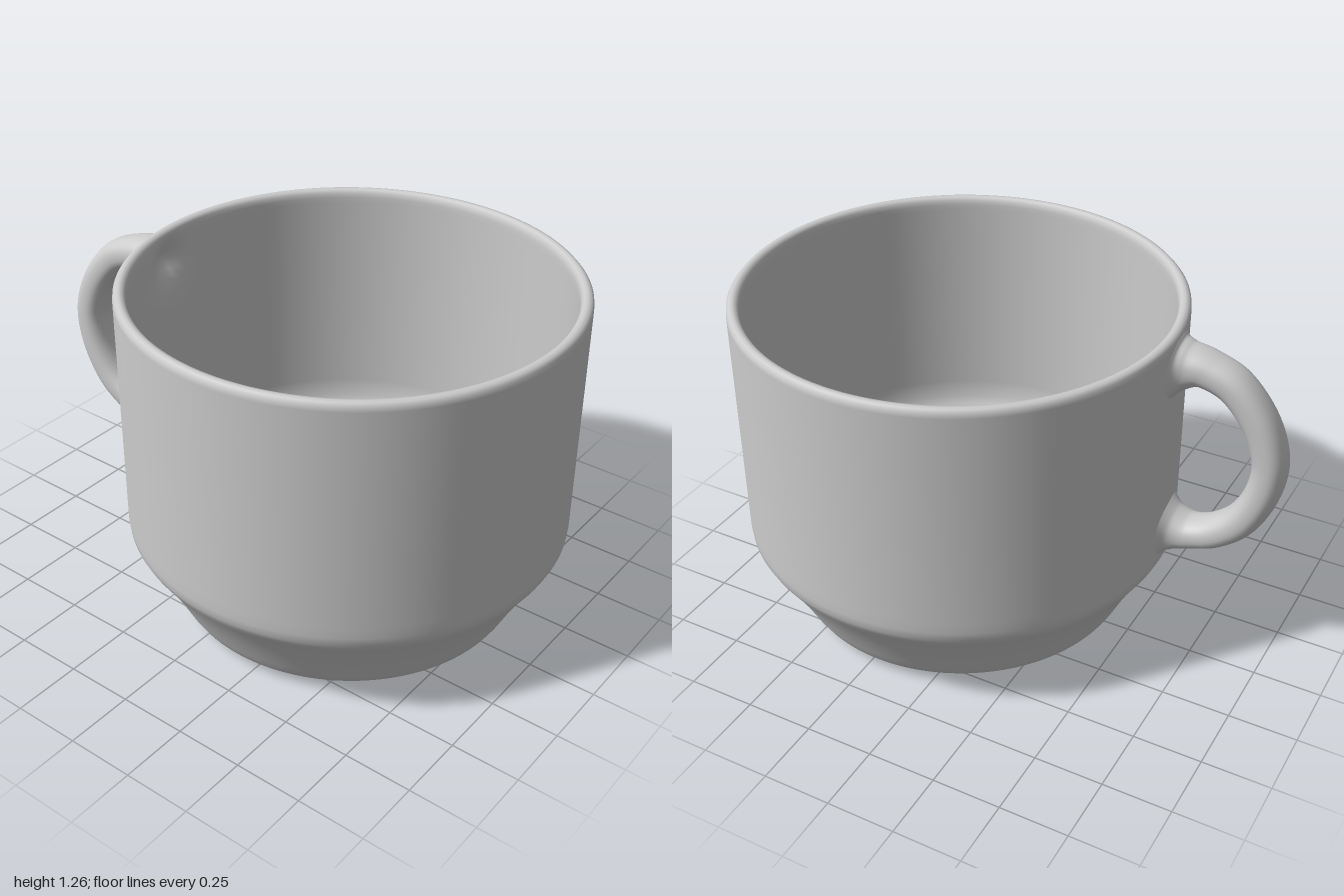
import * as THREE from 'three';
import { mergeVertices } from 'three/addons/utils/BufferGeometryUtils.js';

const CUP_Z = 0.2; // cup axis
const HANDLE_X = -0.09;

function smooth(geometry) {
  geometry.deleteAttribute('uv');
  geometry.deleteAttribute('normal');
  const merged = mergeVertices(geometry, 1e-5);
  merged.computeVertexNormals();
  return merged;
}

// Cup: one revolved wall, outside, rim, inside and floor
function cupGeometry() {
  const profile = [
    [0, 0], [0.3, 0.004], [0.5, 0.012], [0.57, 0.018], [0.605, 0.028], [0.625, 0.045],
    [0.64, 0.07], [0.655, 0.1], [0.69, 0.17], [0.73, 0.24], [0.765, 0.295], [0.785, 0.325],
    [0.797, 0.35], [0.8, 0.38], [0.8, 0.42], [0.8, 0.8], [0.8, 1.23], [0.798, 1.247],
    [0.789, 1.257], [0.777, 1.26], [0.765, 1.257], [0.757, 1.247], [0.755, 1.23],
  ];
  for (let y = 1.21; y > 0.4; y -= 0.02) profile.push([0.755, y]);
  profile.push([0.75, 0.36], [0.735, 0.33], [0.69, 0.255], [0.64, 0.17], [0.605, 0.105],
    [0.59, 0.085], [0.57, 0.074], [0.54, 0.07], [0.3, 0.068], [0, 0.068]);
  const geometry = new THREE.LatheGeometry(profile.map(([r, y]) => new THREE.Vector2(r, y)), 160);

  // Soft hollows inside the wall behind the handle roots
  const p = geometry.attributes.position;
  for (let i = 0; i < p.count; i++) {
    const x = p.getX(i), y = p.getY(i), z = p.getZ(i);
    if (z > 0 || y > 1.235 || Math.hypot(x, z) > 0.76) continue;
    for (const rootY of [1.13, 0.49]) {
      const d2 = (x - HANDLE_X) ** 2 + (y - rootY) ** 2;
      p.setZ(i, p.getZ(i) - 0.05 * Math.exp(-d2 / 0.0045));
    }
  }
  return smooth(geometry);
}

// Handle: rounded section swept along a loop, flaring into the wall
function handleGeometry() {
  // z, y, half thickness, half width
  const stations = [
    [-0.575, 1.125, 0.13, 0.2], [-0.6, 1.13, 0.108, 0.13], [-0.63, 1.138, 0.08, 0.092],
    [-0.69, 1.14, 0.062, 0.076], [-0.79, 1.1, 0.06, 0.072], [-0.875, 1.005, 0.06, 0.072],
    [-0.925, 0.9, 0.06, 0.073], [-0.94, 0.8, 0.06, 0.073], [-0.915, 0.68, 0.06, 0.073],
    [-0.855, 0.57, 0.06, 0.072], [-0.77, 0.5, 0.058, 0.072], [-0.69, 0.472, 0.058, 0.076],
    [-0.63, 0.468, 0.076, 0.092], [-0.6, 0.473, 0.1, 0.13], [-0.575, 0.48, 0.12, 0.2],
  ];
  const path = new THREE.CatmullRomCurve3(stations.map(([z, y]) => new THREE.Vector3(0, y, z)), false, 'catmullrom');
  const sizes = new THREE.CatmullRomCurve3(stations.map(([, , t, w]) => new THREE.Vector3(t, w, 0)), false, 'catmullrom');
  const rings = 84, sides = 32, verts = [], index = [];
  const round = v => Math.sign(v) * Math.abs(v) ** 0.85;
  for (let i = 0; i <= rings; i++) {
    const c = path.getPoint(i / rings), t = path.getTangent(i / rings), s = sizes.getPoint(i / rings);
    const root = THREE.MathUtils.clamp((c.z + 0.68) / 0.08, 0, 1);
    for (let j = 0; j < sides; j++) {
      const a = (j / sides) * Math.PI * 2;
      const n = round(Math.cos(a)) * s.x;
      const x = HANDLE_X + (c.z + 0.65) * 0.05 + round(Math.sin(a)) * s.y;
      const wrap = root * (0.8 - Math.sqrt(0.64 - x * x)); // follow the round wall
      verts.push(x, c.y - t.z * n, c.z + t.y * n * (1 - root) + wrap);
    }
  }
  for (let i = 0; i < rings; i++) {
    for (let j = 0; j < sides; j++) {
      const a = i * sides + j, b = i * sides + (j + 1) % sides;
      index.push(a, b, a + sides, b, b + sides, a + sides);
    }
  }
  const geometry = new THREE.BufferGeometry();
  geometry.setAttribute('position', new THREE.Float32BufferAttribute(verts, 3));
  geometry.setIndex(index);
  geometry.computeVertexNormals();
  return geometry;
}

export function createModel() {
  const ceramic = new THREE.MeshStandardMaterial({ color: 0xcccccc });
  ceramic.name = 'grey ceramic';

  const cup = new THREE.Mesh(cupGeometry(), ceramic);
  cup.name = 'cupBody';
  cup.position.z = CUP_Z;

  const handle = new THREE.Mesh(handleGeometry(), ceramic);
  handle.name = 'handle';

  const group = new THREE.Group();
  group.name = 'cup';
  group.add(cup, handle);
  return group;
}
